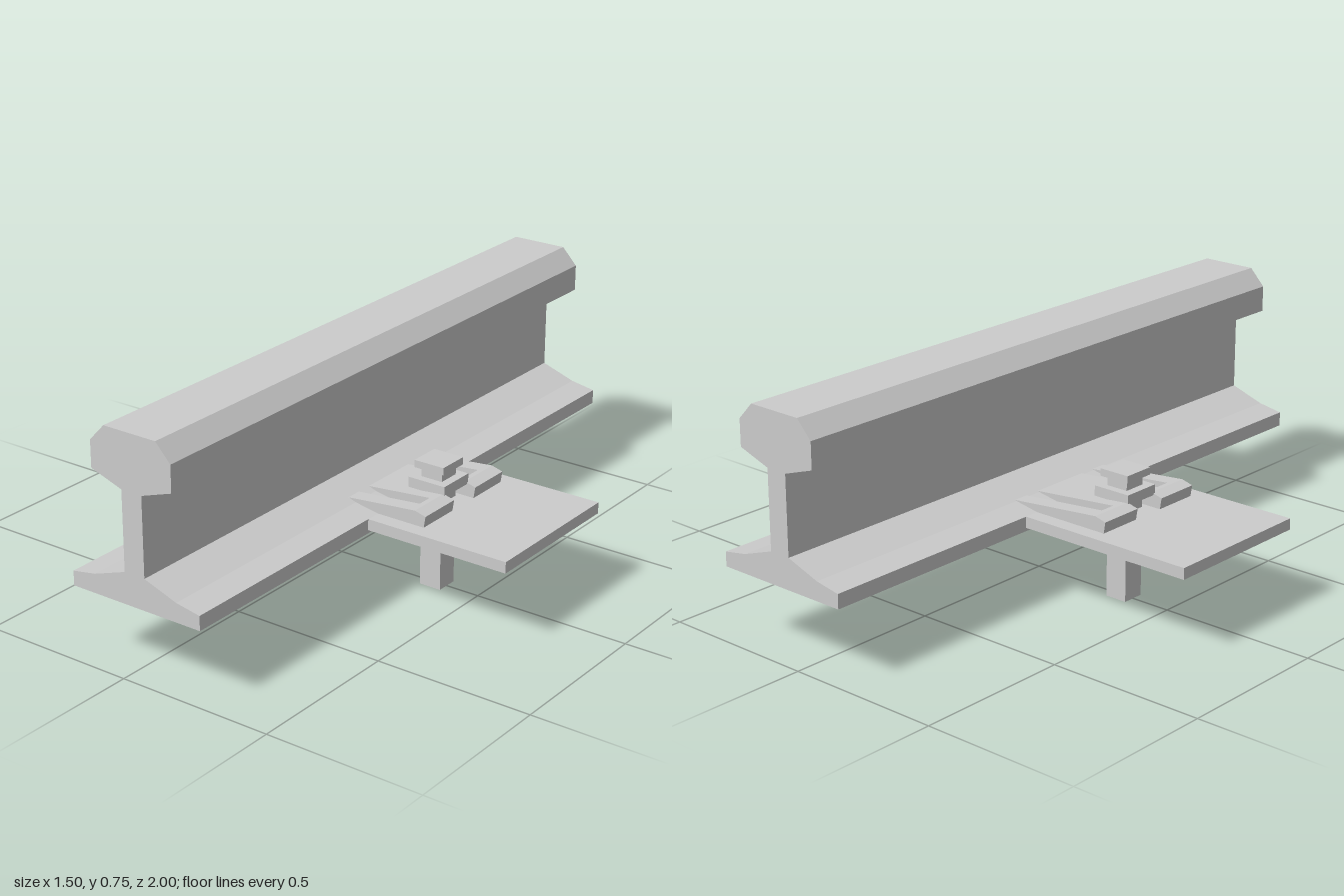
import * as THREE from 'three';

const material = new THREE.MeshStandardMaterial({ color: 0xcccccc, flatShading: true });

function box(name, x0, x1, y0, y1, halfDepth) {
  const mesh = new THREE.Mesh(new THREE.BoxGeometry(x1 - x0, y1 - y0, 2 * halfDepth), material);
  mesh.position.set((x0 + x1) / 2, (y0 + y1) / 2, 0);
  mesh.name = name;
  return mesh;
}

// Extrude an xy profile from z0 to z1
function prism(name, points, z0, z1) {
  const shape = new THREE.Shape(points.map(([x, y]) => new THREE.Vector2(x, y)));
  const geometry = new THREE.ExtrudeGeometry(shape, { depth: z1 - z0, bevelEnabled: false });
  geometry.translate(0, 0, z0);
  const mesh = new THREE.Mesh(geometry, material);
  mesh.name = name;
  return mesh;
}

// Half of the rail section, from the foot up to the head
const railHalf = [
  [0.225, 0.235], [0.225, 0.28], [0.145, 0.294], [0.035, 0.332], [0.035, 0.575],
  [0.14, 0.61], [0.14, 0.692], [0.09, 0.745],
];
const railCentre = 0.055;
const fasteningCentre = 0.009;

// Sloping top of the clip, highest near its outer end
const clipTop = (x) => 0.325 - (0.4 - x) * 0.094;
const clipOuter = [[0.43, 0.27], [0.437, 0.315], [0.4, 0.325]];

function makeClip() {
  const clip = new THREE.Group();
  clip.name = 'railClip';
  const inner = 0.06;
  const full = [[inner, 0.27], ...clipOuter, [inner, clipTop(inner)]];
  // Solid bridge behind the bolt notch
  const bridge = [[inner, 0.27], [0.3, 0.27], [0.3, clipTop(0.3)], [inner, clipTop(inner)]];
  clip.add(prism('clipBridge', bridge, -0.055, 0.055));
  // Outer end of each slot, with a slightly leaning wall
  const slotEnd = [[0.372, 0.27], ...clipOuter, [0.382, clipTop(0.382)]];
  for (const s of [-1, 1]) {
    const strip = (name, points, a, b) =>
      clip.add(prism(name, points, Math.min(s * a, s * b), Math.max(s * a, s * b)));
    strip('clipInnerFinger', full, 0.055, 0.1);
    strip('clipSlotEnd', slotEnd, 0.1, 0.15);
    strip('clipOuterFinger', full, 0.15, 0.2);
  }
  return clip;
}

function makeBolt() {
  const bolt = new THREE.Group();
  bolt.name = 'bolt';
  const c = 0.344;
  bolt.add(
    box('boltShaft', c - 0.036, c + 0.036, 0, 0.382, 0.036),
    box('boltWasher', c - 0.063, c + 0.063, 0.318, 0.35, 0.062),
    box('boltHead', c - 0.051, c + 0.051, 0.38, 0.403, 0.051),
  );
  return bolt;
}

export function createModel() {
  const model = new THREE.Group();
  model.name = 'railWithFastening';

  // Rail running along z
  const left = railHalf.map(([x, y]) => [-x, y]).reverse();
  const rail = prism('rail', [...railHalf, ...left], -1, 1);
  rail.position.x = railCentre;
  model.add(rail);

  // Base plates on both sides of the rail foot
  model.add(box('basePlateLeft', 0.27, 0.75, 0.245, 0.28, 0.248));
  model.add(box('basePlateRight', -0.75, -0.16, 0.245, 0.28, 0.248));

  // One clip and bolt per side, turned half round for the other side
  for (const turn of [0, Math.PI]) {
    const fastening = new THREE.Group();
    fastening.name = turn ? 'fasteningRight' : 'fasteningLeft';
    fastening.add(makeClip(), makeBolt());
    fastening.rotation.y = turn;
    fastening.position.x = fasteningCentre;
    model.add(fastening);
  }
  return model;
}
